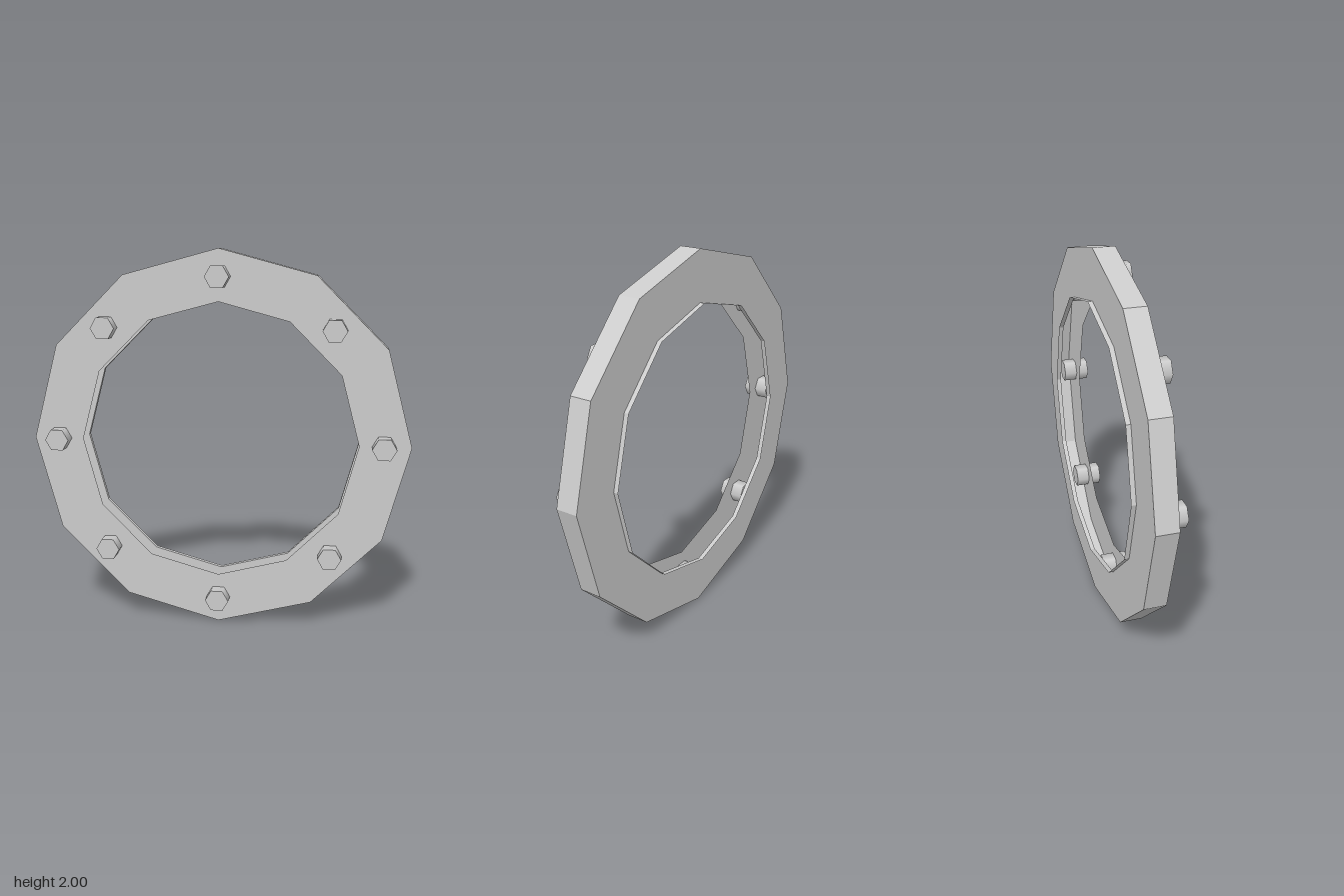
import * as THREE from 'three';

const SIDES = 12, OUTER = 1, INNER = 0.733;
const FRONT = 0.035, BACK = -0.08, REAR_EDGE = -0.105;

export function createModel() {
  const model = new THREE.Group();
  model.name = 'boltedRing';

  const shellMaterial = new THREE.MeshStandardMaterial({
    color: 0xcccccc, flatShading: true, side: THREE.DoubleSide,
  });
  const boltMaterial = new THREE.MeshStandardMaterial({ color: 0xcccccc });

  // everything is built around the ring's axis, then lifted onto the ground
  const add = (name, geometry, material, x, y, z) => {
    const mesh = new THREE.Mesh(geometry, material);
    mesh.name = name;
    mesh.position.set(x, y + OUTER, z);
    model.add(mesh);
    return mesh;
  };

  // open twelve-sided wall between two depths
  const wall = (radius, z0, z1) =>
    new THREE.CylinderGeometry(radius, radius, z1 - z0, SIDES, 1, true)
      .rotateX(Math.PI / 2).translate(0, 0, (z0 + z1) / 2);

  // front and back faces of the hollow ring
  const face = new THREE.RingGeometry(INNER, OUTER, SIDES, 1);
  add('frontFace', face, shellMaterial, 0, 0, FRONT);
  add('backFace', face.clone().rotateY(Math.PI), shellMaterial, 0, 0, BACK);

  // outer rim, and the thin collar behind the opening
  add('outerRim', wall(OUTER, BACK, FRONT), shellMaterial, 0, 0, 0);
  add('rearCollar', wall(INNER, REAR_EDGE, BACK), shellMaterial, 0, 0, 0);

  // eight hexagonal bolts, each reaching through the front face
  const boltGeometry = new THREE.CylinderGeometry(0.063, 0.063, 0.14, 6)
    .rotateY(Math.PI / 6).rotateX(Math.PI / 2);
  for (let i = 0; i < 8; i++) {
    const angle = (i * Math.PI) / 4;
    const radius = i % 2 ? 0.843 : 0.86;
    add('bolt', boltGeometry, boltMaterial,
      Math.cos(angle) * radius, Math.sin(angle) * radius, FRONT);
  }

  return model;
}
